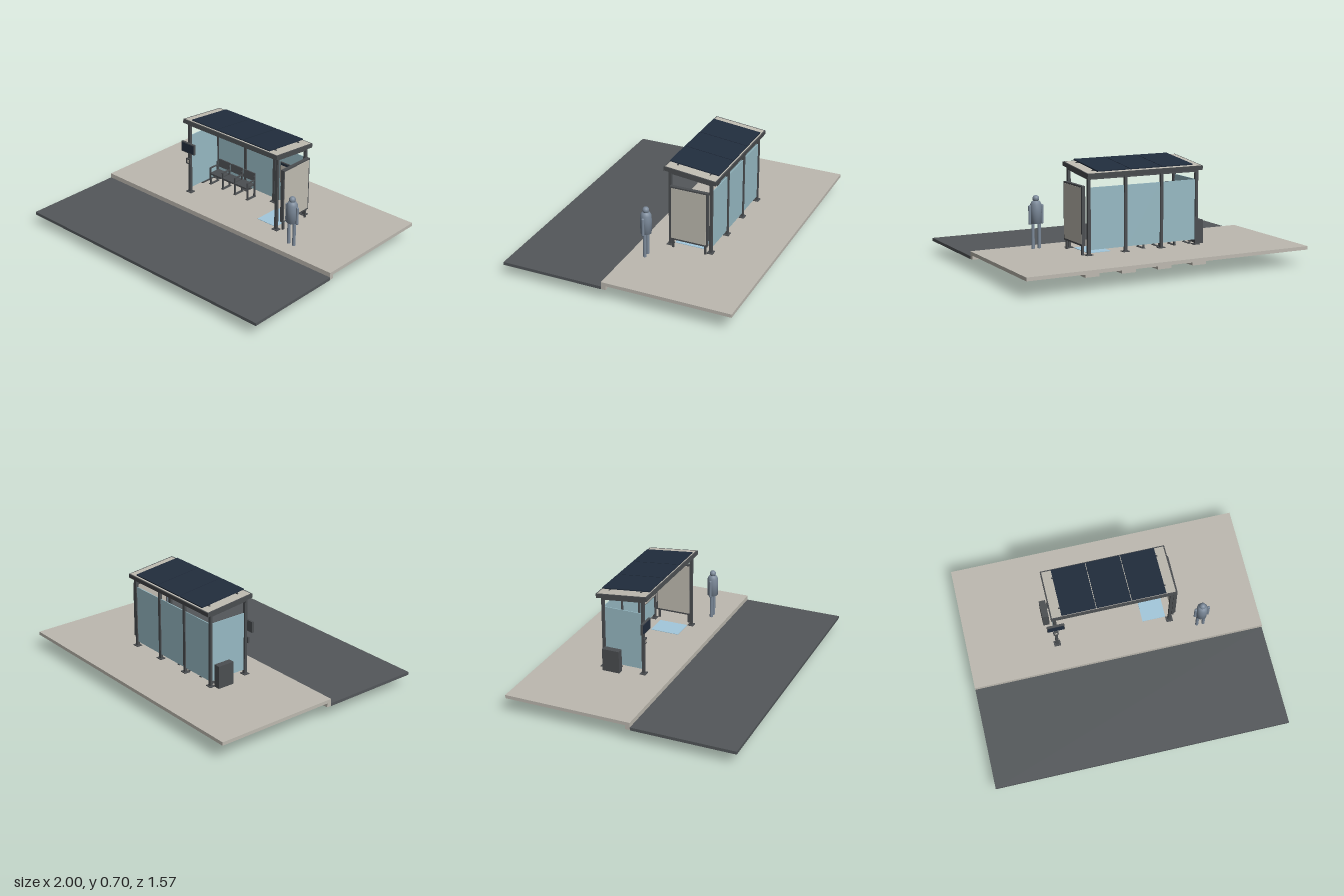
import * as THREE from 'three';

const mat = (name, color) => {
  const m = new THREE.MeshStandardMaterial({ color });
  m.name = name;
  return m;
};

export function createModel() {
  const concrete = mat('concrete', 0xbdb9b0);
  const asphalt = mat('asphalt', 0x53575a);
  const metal = mat('dark metal', 0x4b4e51);
  const pale = mat('pale panel', 0xc0bcb2);
  const glass = mat('teal glass', 0x97bac4);
  const navy = mat('navy panel', 0x212d3d);
  const slate = mat('slate blue', 0x7b8999);
  const bayBlue = mat('bay blue', 0xa3c8dc);

  const model = new THREE.Group();
  model.name = 'busShelter';
  const group = (name, parent = model) => {
    const g = new THREE.Group();
    g.name = name;
    parent.add(g);
    return g;
  };
  const add = (name, geo, m, parent) => {
    const mesh = new THREE.Mesh(geo, m);
    mesh.name = name;
    parent.add(mesh);
    return mesh;
  };
  // Box given by its minimum and maximum on each axis
  const box = (name, m, [x0, x1], [y0, y1], [z0, z1], parent = model) => {
    const mesh = add(name, new THREE.BoxGeometry(x1 - x0, y1 - y0, z1 - z0), m, parent);
    mesh.position.set((x0 + x1) / 2, (y0 + y1) / 2, (z0 + z1) / 2);
    return mesh;
  };
  const around = (c, half) => [c - half, c + half];

  const ground = 0.13, frontZ = -0.103, backZ = -0.385;

  // Ground: pavement, kerb and road
  box('pavement', concrete, [-1, 1], [0.107, ground], [-0.784, 0.055]);
  box('kerb', concrete, [-1, 1], [0.08, ground], [0.055, 0.086]);
  box('road', asphalt, [-1, 1], [0.078, 0.098], [0.086, 0.784]);
  box('floorBay', bayBlue, [0.21, 0.37], [ground, ground + 0.003], [-0.33, -0.125]);

  // Posts with base plates and foundation blocks
  const frame = group('frame');
  const posts = [-0.392, -0.131, 0.131, 0.392].map(x => [x, backZ, 0.625]);
  posts.push([-0.392, frontZ, 0.652], [0.392, frontZ, 0.652]);
  for (const [x, z, top] of posts) {
    box('post', metal, around(x, 0.01), [ground, top], around(z, 0.009), frame);
    box('basePlate', metal, around(x, 0.023), [ground, ground + 0.005], around(z, 0.02), frame);
    box('foundation', concrete, around(x, 0.05), [0, 0.107], around(z, 0.049));
  }
  box('backBeam', metal, [-0.385, 0.385], [0.61, 0.622], around(backZ, 0.008), frame);
  box('frontBeam', metal, [-0.385, 0.385], [0.638, 0.648], around(frontZ, 0.006), frame);
  for (const x of [-0.392, 0.392]) {
    const rafter = box('rafter', metal, around(x, 0.008), around(0.632, 0.007), [-0.385, -0.103], frame);
    rafter.rotation.x = -0.105;
  }

  // Glass walls
  for (const x of [-0.2615, 0, 0.2615])
    box('backGlass', glass, around(x, 0.119), [0.163, 0.56], around(backZ, 0.003));
  box('sideGlass', glass, around(-0.392, 0.003), [0.163, 0.56], [-0.372, -0.116]);

  // Sloping roof with fascia, rails and solar panels
  const roof = group('roof');
  roof.position.set(0, 0.657, -0.245);
  roof.rotation.x = -0.105;
  box('roofSheet', pale, [-0.409, 0.409], [0.004, 0.0145], [-0.172, 0.172], roof);
  for (const s of [-1, 1]) {
    box('endFascia', metal, around(s * 0.413, 0.004), [-0.014, 0.014], [-0.18, 0.18], roof);
    box('longFascia', metal, [-0.409, 0.409], [-0.014, 0.014], around(s * 0.176, 0.004), roof);
    box('solarRail', metal, [-0.355, 0.355], [0.0145, 0.021], around(s * 0.113, 0.004), roof);
  }
  for (const x of [-0.232, 0, 0.232])
    box('solarPanel', navy, around(x, 0.1135), [0.021, 0.028], around(0.002, 0.17), roof);

  // Advertising case on the left end
  const advert = group('advertCase');
  box('caseBody', metal, [0.412, 0.436], [0.19, 0.57], [-0.378, -0.117], advert);
  for (const x of [0.411, 0.437])
    box('poster', pale, around(x, 0.001), [0.202, 0.56], [-0.368, -0.127], advert);
  for (const z of [-0.135, -0.36])
    box('caseLeg', metal, around(0.424, 0.006), [ground, 0.19], around(z, 0.007), advert);

  // Map board on the back glass
  const map = group('mapBoard');
  box('boardFrame', metal, [0.19, 0.386], [0.308, 0.462], [-0.38, -0.372], map);
  box('boardSheet', pale, [0.196, 0.38], [0.314, 0.44], [-0.372, -0.37], map);
  box('boardHeader', navy, [0.196, 0.38], [0.44, 0.456], [-0.372, -0.37], map);

  // Three-seat bench
  const bench = group('bench');
  for (let i = 0; i < 3; i++) {
    const x = -0.308 + i * 0.1155;
    box('seat', metal, around(x, 0.052), [0.211, 0.224], [-0.355, -0.268], bench);
    const back = box('backrest', metal, around(x, 0.052), [0.243, 0.3], [-0.366, -0.357], bench);
    back.rotation.x = -0.1;
  }
  box('seatRail', metal, [-0.37, -0.015], [0.202, 0.211], around(-0.312, 0.008), bench);
  for (let i = 0; i < 4; i++) {
    const x = around(-0.366 + i * 0.1155, 0.005);
    box('frontLeg', metal, x, [ground, 0.26], around(-0.28, 0.005), bench);
    box('backLeg', metal, x, [ground, 0.285], around(-0.35, 0.005), bench);
    box('armrest', metal, x, [0.252, 0.26], [-0.35, -0.272], bench);
    box('foot', metal, [x[0] - 0.005, x[1] + 0.005], [ground, ground + 0.004], [-0.358, -0.272], bench);
  }

  // Litter bin beside the right end
  box('bin', metal, [-0.457, -0.413], [ground, 0.285], [-0.37, -0.25]);

  // Arrival display and call box on the right front post
  const display = group('display');
  box('displayCase', metal, [-0.45, -0.332], [0.436, 0.51], [-0.094, -0.079], display);
  box('displayScreen', navy, [-0.444, -0.338], [0.442, 0.504], [-0.079, -0.077], display);
  box('callBox', metal, around(-0.394, 0.018), [0.35, 0.391], [-0.094, -0.084], display);
  box('callPlate', pale, around(-0.394, 0.009), [0.36, 0.381], [-0.084, -0.082], display);

  // Waiting figure
  const person = group('person');
  person.position.set(0.589, ground, -0.024);
  const torso = [[0, 0.165], [0.036, 0.165], [0.038, 0.25], [0.036, 0.29], [0.026, 0.308], [0.011, 0.315], [0, 0.316]]
    .map(p => new THREE.Vector2(...p));
  add('torso', new THREE.LatheGeometry(torso, 20), slate, person);
  add('head', new THREE.SphereGeometry(0.022, 20, 14), slate, person).position.y = 0.326;
  for (const s of [-1, 1]) {
    add('leg', new THREE.CylinderGeometry(0.011, 0.011, 0.17, 14), slate, person).position.set(s * 0.022, 0.085, 0);
    add('arm', new THREE.CapsuleGeometry(0.009, 0.11, 4, 12), slate, person).position.set(s * 0.044, 0.222, 0);
  }

  return model;
}
